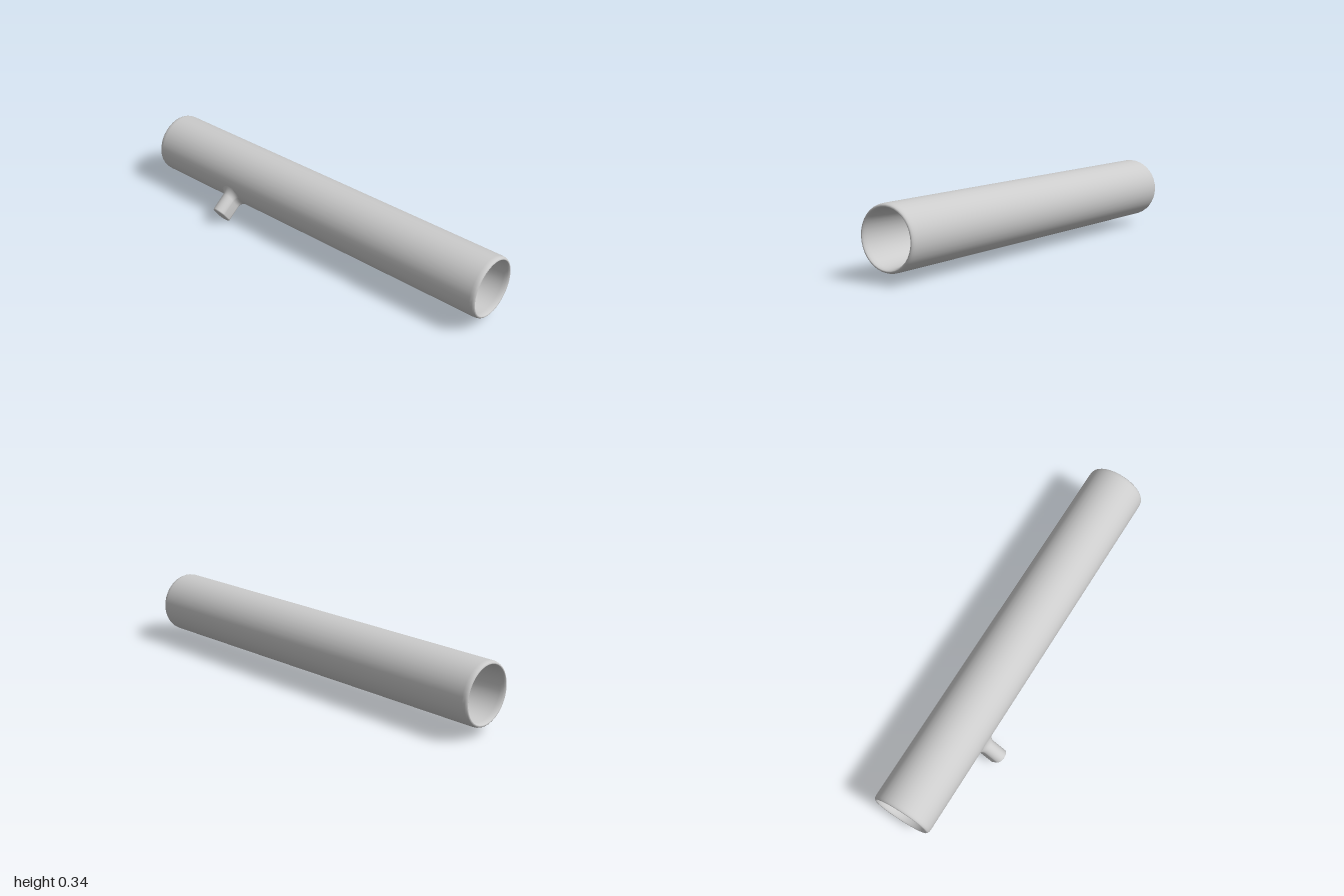
import * as THREE from 'three';

const R = 0.15;                                   // outer radius of the tube
const material = new THREE.MeshStandardMaterial({ color: 0xcccccc, side: THREE.DoubleSide });

// Hollow tube: rounded lips, slightly tapering bores, each closed by a deep floor
function makeTube() {
  const half = [
    [R, 0.6], [R, 0.975], [0.1485, 0.988], [0.145, 0.996], [0.14, 1], [0.136, 0.998],
    [0.132, 0.99], [0.129, 0.975], [0.122, 0.85], [0.116, 0.68],
    [0.113, 0.662], [0.107, 0.655], [0.06, 0.652], [0, 0.652],
  ];
  const mirrored = half.map(([r, y]) => [r, -y]).reverse();
  const profile = [...mirrored, ...half].map(([r, y]) => new THREE.Vector2(r, y));
  const tube = new THREE.Mesh(new THREE.LatheGeometry(profile, 36), material);
  tube.name = 'tube';
  tube.rotation.z = -Math.PI / 2;
  return tube;
}

// Stub of stadium section, its foot flared by a fillet that follows the tube wall
function makeStub() {
  const n = 40, radius = 0.0375, straight = 0.02, fillet = 0.03, tip = 0.261;
  const rows = [];
  const addRow = (offset, height, scale = 1) => {
    const row = [];
    for (let j = 0; j < n; j++) {
      const a = (j / n) * Math.PI * 2;
      const s = Math.sin(a);
      const x = scale * (radius + offset) * Math.cos(a);
      const z = scale * ((radius + offset) * s + Math.sign(s) * straight);
      row.push([x, height(z), z]);
    }
    rows.push(row);
  };
  const wall = (z) => Math.sqrt(R * R - z * z);

  // fillet
  for (let i = 0; i <= 6; i++) {
    const t = (i / 6) * Math.PI / 2;
    addRow(fillet * (1 - Math.sin(t)), (z) => wall(z) - 0.002 + fillet * (1 - Math.cos(t)));
  }
  // shaft, small bevel, then a flat end with its own edge ring
  addRow(0, () => 0.19);
  addRow(0, () => tip - 0.006);
  addRow(-0.002, () => tip - 0.002);
  addRow(-0.005, () => tip);
  addRow(-0.005, () => tip);
  addRow(-0.005, () => tip, 0);

  const index = [];
  for (let i = 0; i < rows.length - 1; i++) {
    for (let j = 0; j < n; j++) {
      const k = (j + 1) % n;
      const a = i * n + j, b = i * n + k, c = a + n, d = b + n;
      index.push(a, c, b, b, c, d);
    }
  }
  const geometry = new THREE.BufferGeometry();
  geometry.setAttribute('position', new THREE.Float32BufferAttribute(rows.flat(2), 3));
  geometry.setIndex(index);
  geometry.computeVertexNormals();

  const stub = new THREE.Mesh(geometry, material);
  stub.name = 'sideStub';
  stub.position.x = -0.49;
  stub.rotation.x = Math.atan2(0.816, -0.578);    // points forward and down
  return stub;
}

export function createModel() {
  const model = new THREE.Group();
  model.name = 'tubeWithStub';
  const body = new THREE.Group();
  body.name = 'body';
  body.position.set(0, 0.198, -0.048);
  body.add(makeTube(), makeStub());
  model.add(body);
  return model;
}
